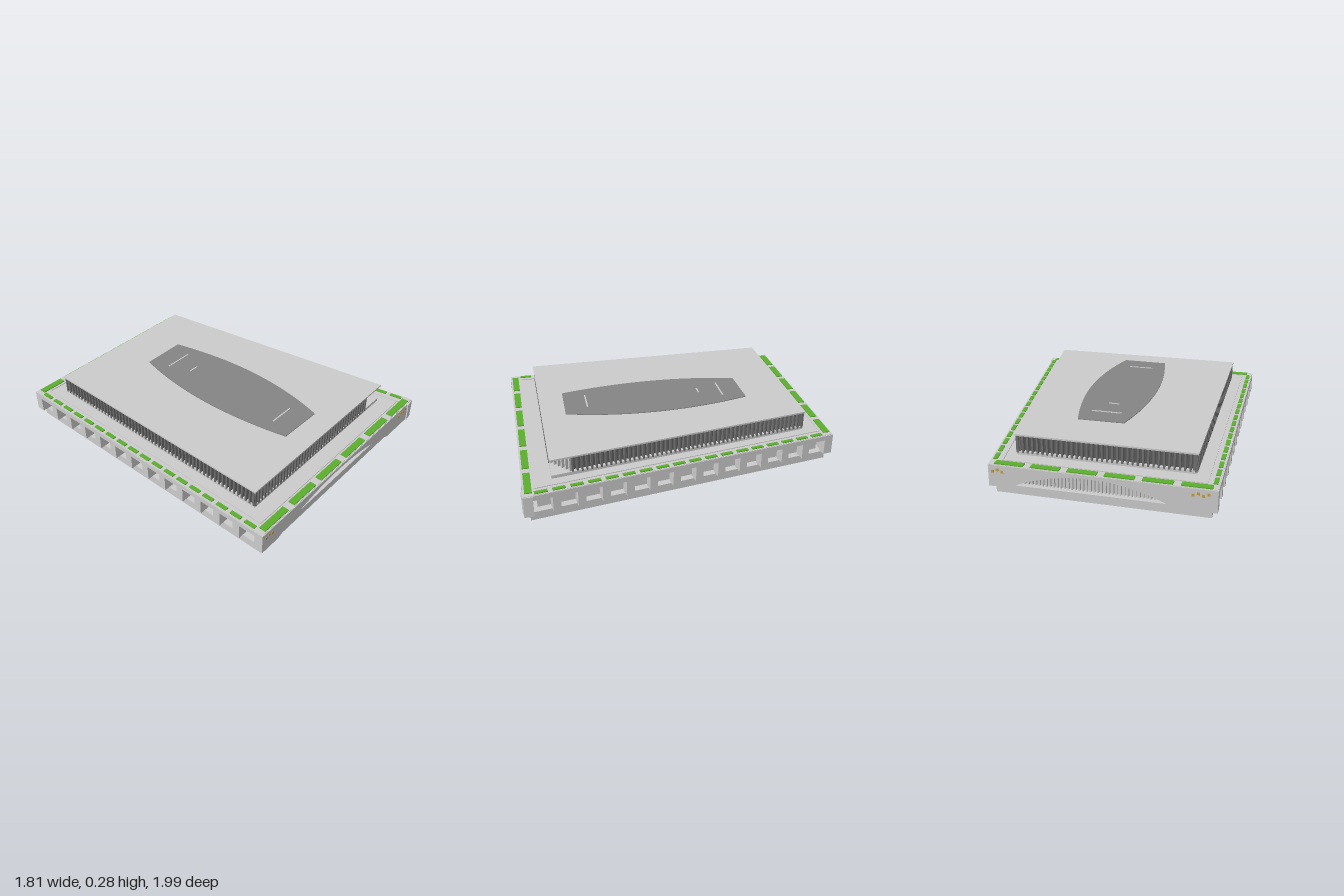
import * as THREE from 'three';
import { mergeGeometries } from 'three/addons/utils/BufferGeometryUtils.js';

const mat = (color, side = THREE.FrontSide) => new THREE.MeshStandardMaterial({ color, side });
const GREY = mat(0xcccccc), DARK = mat(0x5c5c5c), FIN = mat(0x707070), GLASS = mat(0x858585),
  GREEN = mat(0x5cae2e), YELLOW = mat(0xc8a030), BROWN = mat(0x8a5a38);

// Plan corners as [x, z]: front left, front right, back right, back left
const OUTLINE = [[-0.48, 0.99], [0.905, 0.64], [0.22, -1.0], [-0.905, -0.72]];
const ROOF = [[-0.40, 0.82], [0.735, 0.53], [0.165, -0.84], [-0.755, -0.61]];

function mesh(name, geometry, material) {
  const m = new THREE.Mesh(geometry, material);
  m.name = name;
  return m;
}

// Vertical prism over a plan polygon
function prism(name, plan, y0, y1, material) {
  const shape = new THREE.Shape(plan.map(([x, z]) => new THREE.Vector2(x, -z)));
  const g = new THREE.ExtrudeGeometry(shape, { depth: y1 - y0, bevelEnabled: false });
  g.rotateX(-Math.PI / 2).translate(0, y0, 0);
  return mesh(name, g, material);
}

// Move every edge of a plan polygon inward by d
function inset(plan, d) {
  const n = plan.length;
  const lines = plan.map((p, i) => {
    const q = plan[(i + 1) % n], dx = q[0] - p[0], dz = q[1] - p[1], l = Math.hypot(dx, dz);
    return { x: p[0] + dz / l * d, z: p[1] - dx / l * d, dx, dz };
  });
  return lines.map((b, i) => {
    const a = lines[(i + n - 1) % n];
    const t = ((b.x - a.x) * b.dz - (b.z - a.z) * b.dx) / (a.dx * b.dz - a.dz * b.dx);
    return [a.x + a.dx * t, a.z + a.dz * t];
  });
}

// Group along edge p-q: local x runs along the edge, local z points outward
function edgeFrame(name, p, q) {
  const g = new THREE.Group();
  g.name = name;
  g.position.set(p[0], 0, p[1]);
  g.rotation.y = Math.atan2(p[1] - q[1], q[0] - p[0]);
  g.userData.length = Math.hypot(q[0] - p[0], q[1] - p[1]);
  return g;
}

// Row of boxes; each entry gives [x0, x1, y0, y1, z0, z1]
function boxes(name, list, material) {
  return mesh(name, mergeGeometries(list.map(([x0, x1, y0, y1, z0, z1]) =>
    new THREE.BoxGeometry(x1 - x0, y1 - y0, z1 - z0)
      .translate((x0 + x1) / 2, (y0 + y1) / 2, (z0 + z1) / 2))), material);
}

const row = (n, from, to, fn) =>
  Array.from({ length: n }, (_, i) => fn(from + (to - from) * (i + 0.5) / n, (to - from) / n, i));

// Facade with a wide shallow arch, mullions behind it, small panels and planters
function archFacade(name, p, q) {
  const g = edgeFrame(name, p, q), L = g.userData.length;
  const a = 0.09 * L, b = 0.82 * L, w = (b - a) / 2, h = 0.1;
  const r = (w * w + h * h) / (2 * h), half = Math.asin(w / r);
  const s = new THREE.Shape();
  s.moveTo(0, 0.045);
  s.lineTo(a, 0.045);
  s.absarc((a + b) / 2, 0.145 - r, r, Math.PI / 2 + half, Math.PI / 2 - half, true);
  s.lineTo(L, 0.045);
  s.lineTo(L, 0.162);
  s.lineTo(0, 0.162);
  const wall = new THREE.ExtrudeGeometry(s, { depth: 0.05, bevelEnabled: false, curveSegments: 32 });
  g.add(mesh('archWall', wall.translate(0, 0, -0.05), GREY));
  g.add(boxes('archMullions', row(44, a, b, x => [x - 0.004, x + 0.004, 0.045, 0.15, -0.075, -0.055]), GREY));
  const panels = [];
  for (const [t, n] of [[0.015, 3], [0.89, 4]])
    for (let i = 0; i < n; i++) {
      const x = t * L + i * 0.025, y = 0.122 + (i % 2) * 0.01;
      panels.push([x, x + 0.014, y, y + 0.014, -0.005, 0.003]);
    }
  g.add(boxes('smallPanels', panels, YELLOW));
  g.add(boxes('planters', row(6, 0.01, L - 0.01, (x, d) =>
    [x - d * 0.4, x + d * 0.4, 0.15, 0.169, -0.048, -0.01]), GREEN));
  return g;
}

// Long facade of deep bays between piers
function bayFacade(name, p, q) {
  const g = edgeFrame(name, p, q), L = g.userData.length, n = 13, pitch = (L - 0.08) / n;
  const piers = [[0, 0.05, 0.045, 0.14, -0.05, 0], [L - 0.05, L, 0.045, 0.14, -0.05, 0]];
  for (let i = 1; i < n; i++) {
    const x = 0.04 + i * pitch;
    piers.push([x - 0.021, x + 0.021, 0.045, 0.14, -0.06, 0]);
  }
  g.add(boxes('piers', piers, GREY));
  g.add(boxes('lintel', [[0, L, 0.134, 0.162, -0.06, 0]], GREY));
  g.add(boxes('bayHeads', row(n, 0.04, L - 0.04, (x, d) =>
    [x - d * 0.35, x + d * 0.35, 0.122, 0.1335, -0.06, -0.03]), BROWN));
  g.add(boxes('planters', row(18, 0.05, L - 0.05, (x, d) =>
    [x - d * 0.36, x + d * 0.36, 0.15, 0.169, -0.034, -0.012]), GREEN));
  return g;
}

// Close-set vertical fins along one edge of the upper storey
function finRow(p, q, material) {
  const g = edgeFrame('finRow', p, q), L = g.userData.length;
  g.add(boxes('fins', row(Math.max(4, Math.round(L / 0.026)), 0, L, x =>
    [x - 0.005, x + 0.005, 0.175, 0.271, -0.028, -0.003]), material));
  return g;
}

export function createModel() {
  const model = new THREE.Group();
  model.name = 'pavilionBuilding';

  // Base, core and terrace
  model.add(prism('base', inset(OUTLINE, 0.03), 0, 0.046, GREY));
  model.add(prism('lowerCore', inset(OUTLINE, 0.07), 0.04, 0.155, GREY));
  model.add(prism('terrace', inset(OUTLINE, 0.004), 0.15, 0.164, GREY));
  const kerb = inset(OUTLINE, 0.06);
  kerb.forEach((p, i) => {
    const g = edgeFrame('terraceKerb', p, kerb[(i + 1) % 4]);
    g.add(boxes('kerb', [[0, g.userData.length, 0.16, 0.168, -0.006, 0]], GREY));
    model.add(g);
  });

  // Four facades
  const [FL, FR, BR, BL] = OUTLINE;
  model.add(archFacade('frontFacade', FL, FR));
  model.add(bayFacade('facadeOnPlusX', FR, BR));
  model.add(archFacade('backFacade', BR, BL));
  model.add(bayFacade('facadeOnMinusX', BL, FL));

  // Upper storey, cut off at one front corner under the overhanging roof
  const storey = [ROOF[0], [0.60, 0.565], [0.69, 0.43], ROOF[2], ROOF[3]];
  model.add(prism('plinth', inset(ROOF, 0.006), 0.16, 0.182, GREY));
  model.add(prism('upperWalls', inset(storey, 0.025), 0.17, 0.271, DARK));
  storey.forEach((p, i) => model.add(finRow(p, storey[(i + 1) % 5], i === 1 ? GREY : FIN)));
  model.add(prism('roof', ROOF, 0.269, 0.278, GREY));

  // Bow-sided skylight with slim vents
  const left = new THREE.QuadraticBezierCurve(new THREE.Vector2(-0.26, -0.45),
    new THREE.Vector2(-0.27, 0.06), new THREE.Vector2(-0.015, 0.575)).getPoints(20);
  const right = new THREE.QuadraticBezierCurve(new THREE.Vector2(0.24, 0.515),
    new THREE.Vector2(0.27, 0), new THREE.Vector2(-0.015, -0.515)).getPoints(20);
  model.add(prism('skylight', [...left, ...right].map(v => [v.x, v.y]), 0.272, 0.282, GLASS));
  for (const [x, z, l] of [[-0.105, -0.36, 0.17], [-0.08, -0.23, 0.06], [0.08, 0.42, 0.15]]) {
    const vent = mesh('skylightVent', new THREE.BoxGeometry(l, 0.004, 0.008), GREY);
    vent.position.set(x, 0.283, z);
    vent.rotation.y = 0.24;
    model.add(vent);
  }
  return model;
}
